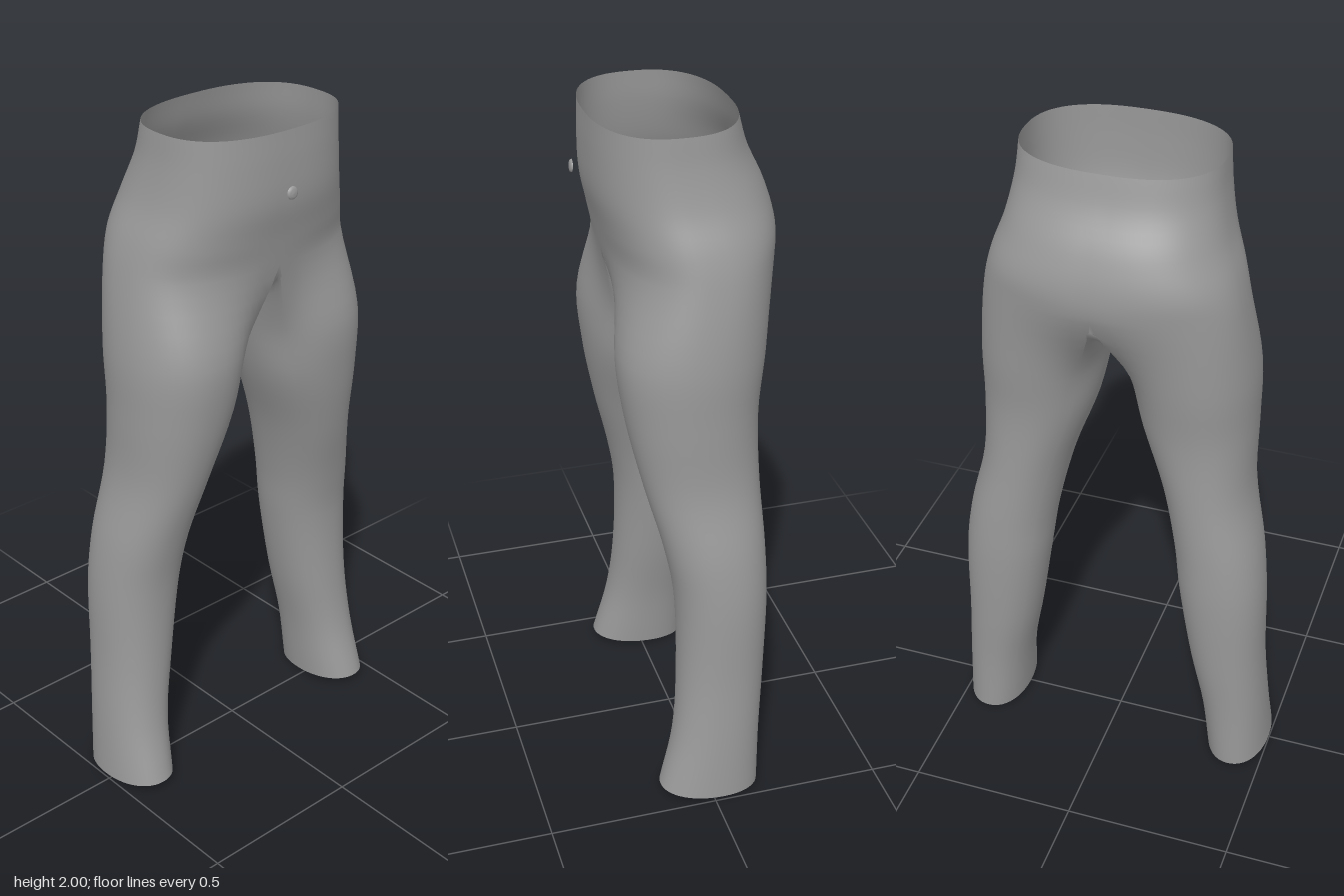
import * as THREE from 'three';
import { mergeVertices } from 'three/addons/utils/BufferGeometryUtils.js';

const OUTER = 36, INNER = 18, SUB = 5; // columns outside, columns on the inner thigh, rows per ring

// Hip rings: height, half width, front z, back z
const HIPS = [
  [2.0, 0.28, 0.235, -0.165], [1.91, 0.288, 0.237, -0.19], [1.8, 0.31, 0.233, -0.24],
  [1.7, 0.345, 0.212, -0.265], [1.61, 0.367, 0.195, -0.258],
];
// Leg rings: height, inner x, outer x, front z, back z
const LEGS = [
  [1.38, 0.032, 0.4, 0.21, -0.203], [1.2, 0.075, 0.402, 0.195, -0.18],
  [1.0, 0.145, 0.407, 0.155, -0.178], [0.8, 0.19, 0.45, 0.105, -0.185],
  [0.65, 0.21, 0.468, 0.08, -0.187], [0.4, 0.25, 0.475, 0.08, -0.175],
  [0.2, 0.29, 0.488, 0.1, -0.16], [0.015, 0.31, 0.5, 0.145, -0.153],
];

// Point on a squared-off ellipse; angle 0 is the front, 90 degrees the outside
function ringPoint(angle, y, x0, x1, front, back, power) {
  const bend = v => Math.sign(v) * Math.pow(Math.abs(v), 2 / power);
  const s = Math.sin(angle), c = Math.cos(angle);
  return new THREE.Vector3((x0 + x1) / 2 + (x1 - x0) / 2 * bend(Math.abs(s) < 1e-9 ? 0 : s), y,
    (front + back) / 2 + (front - back) / 2 * bend(c));
}

function legPoints(angle) {
  return LEGS.map(([y, ...r], i) => {
    const p = ringPoint(angle, y, ...r, 2.15);
    if (i === LEGS.length - 1) p.y += 0.012 * Math.cos(angle); // sloping hem
    return p;
  });
}

// One half of the garment as a grid of smooth columns
function makeColumns() {
  const columns = [], spread = THREE.MathUtils.degToRad(48);
  for (let j = 0; j <= OUTER; j++) {
    const t = j / OUTER;
    const hips = HIPS.map(([y, w, f, b]) => ringPoint(t * Math.PI, y, -w, w, f, b, 2.45));
    const points = [...hips, ...legPoints(-spread + t * (Math.PI + 2 * spread))];
    const curve = new THREE.CatmullRomCurve3(points), n = (points.length - 1) * SUB;
    const column = [];
    for (let i = 0; i <= n; i++) {
      const p = curve.getPoint(i / n);
      p.x = Math.max(0, p.x);
      if (i <= (HIPS.length - 1) * SUB && j % OUTER === 0) p.x = 0;
      column.push(p);
    }
    columns.push(column);
  }
  // Inner thigh columns start on the arched crotch seam at x = 0
  const [seamY, , front, back] = HIPS[HIPS.length - 1];
  for (let k = 1; k < INNER; k++) {
    const t = k / INNER;
    const seam = new THREE.Vector3(0, seamY - (seamY - 1.5) * Math.pow(Math.sin(Math.PI * t), 0.8),
      (front + back) / 2 - (front - back) / 2 * Math.cos(Math.PI * t));
    const leg = legPoints(Math.PI + spread + t * (Math.PI - 2 * spread));
    const mirrored = leg[0].clone();
    mirrored.x *= -1;
    const points = [mirrored, seam, ...leg];
    const curve = new THREE.CatmullRomCurve3(points), n = (points.length - 1) * SUB;
    const column = new Array((HIPS.length - 1) * SUB).fill(null);
    for (let i = SUB; i <= n; i++) column.push(curve.getPoint(i / n));
    column[(HIPS.length - 1) * SUB].x = 0;
    columns.push(column);
  }
  columns.push(columns[0]);
  return columns;
}

function trouserGeometry() {
  const columns = makeColumns(), positions = [];
  const crotchRow = (HIPS.length - 1) * SUB;
  for (const side of [1, -1]) {
    const tri = (a, b, c) => {
      for (const p of side > 0 ? [a, b, c] : [a, c, b]) positions.push(side * p.x, p.y, p.z);
    };
    for (let j = 0; j < columns.length - 1; j++) {
      const left = columns[j], right = columns[j + 1];
      for (let i = j < OUTER ? 0 : crotchRow; i < left.length - 1; i++) {
        tri(left[i], left[i + 1], right[i]);
        tri(right[i], left[i + 1], right[i + 1]);
      }
    }
  }
  const raw = new THREE.BufferGeometry();
  raw.setAttribute('position', new THREE.Float32BufferAttribute(positions, 3));
  const geometry = mergeVertices(raw, 1e-5);
  geometry.computeVertexNormals();
  return geometry;
}

export function createModel() {
  const group = new THREE.Group();
  group.name = 'trousers';
  const cloth = new THREE.MeshStandardMaterial({ color: 0x999999, side: THREE.DoubleSide });
  cloth.name = 'grey cloth';

  const body = new THREE.Mesh(trouserGeometry(), cloth);
  body.name = 'waistAndLegs';
  group.add(body);

  // Small domed button just off the front
  const profile = [[0, 0.004], [0.01, 0.003], [0.016, 0.001], [0.018, -0.003]]
    .map(([r, h]) => new THREE.Vector2(r, h)).reverse();
  const button = new THREE.Mesh(new THREE.LatheGeometry(profile, 20), cloth);
  button.name = 'button';
  button.rotation.x = Math.PI / 2 - 0.08;
  button.position.set(-0.025, 1.84, 0.267);
  group.add(button);
  return group;
}
